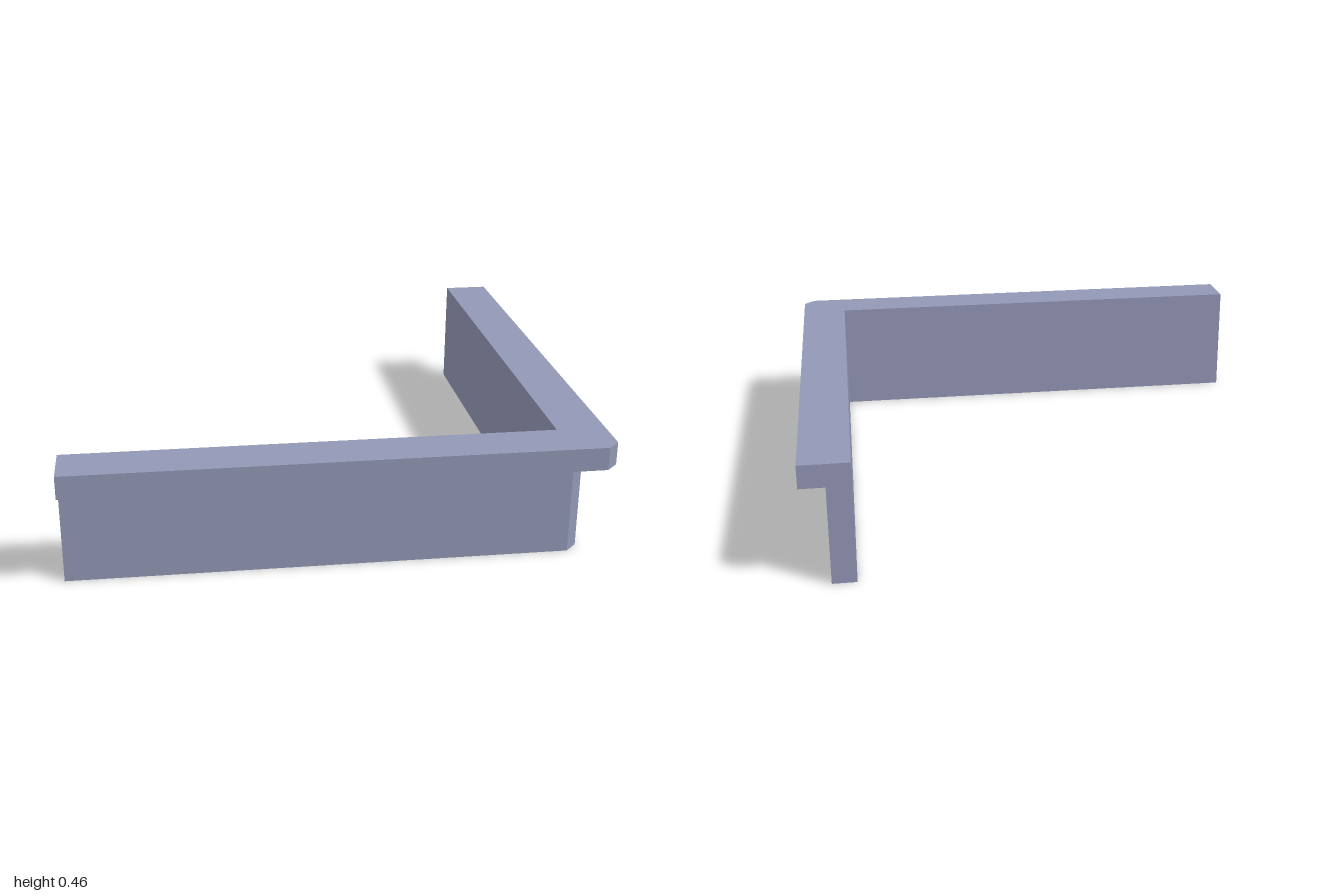
import * as THREE from 'three';

const INNER = 0.815; // inner face shared by wall and cap
const CHAMFER = 0.045; // cut on the outer corner

// L-shaped plan (x, z) extruded between two heights
function cornerRun(name, outer, bottom, top, material) {
  const plan = new THREE.Shape([
    [-1, INNER], [INNER, INNER], [INNER, -1], [outer, -1],
    [outer, outer - CHAMFER], [outer - CHAMFER, outer], [-1, outer],
  ].map(([x, z]) => new THREE.Vector2(x, z)));
  const geometry = new THREE.ExtrudeGeometry(plan, { depth: top - bottom, bevelEnabled: false });
  geometry.rotateX(Math.PI / 2).translate(0, top, 0);
  const mesh = new THREE.Mesh(geometry, material);
  mesh.name = name;
  return mesh;
}

export function createModel() {
  const group = new THREE.Group();
  group.name = 'cornerParapet';
  const stone = new THREE.MeshStandardMaterial({ color: 0x9297b5 });
  stone.name = 'blue grey stone';

  // Thin upright wall, and the wider ledge that overhangs its outer side
  group.add(cornerRun('wall', 0.905, 0, 0.37, stone));
  group.add(cornerRun('cap', 1, 0.37, 0.457, stone));
  return group;
}
